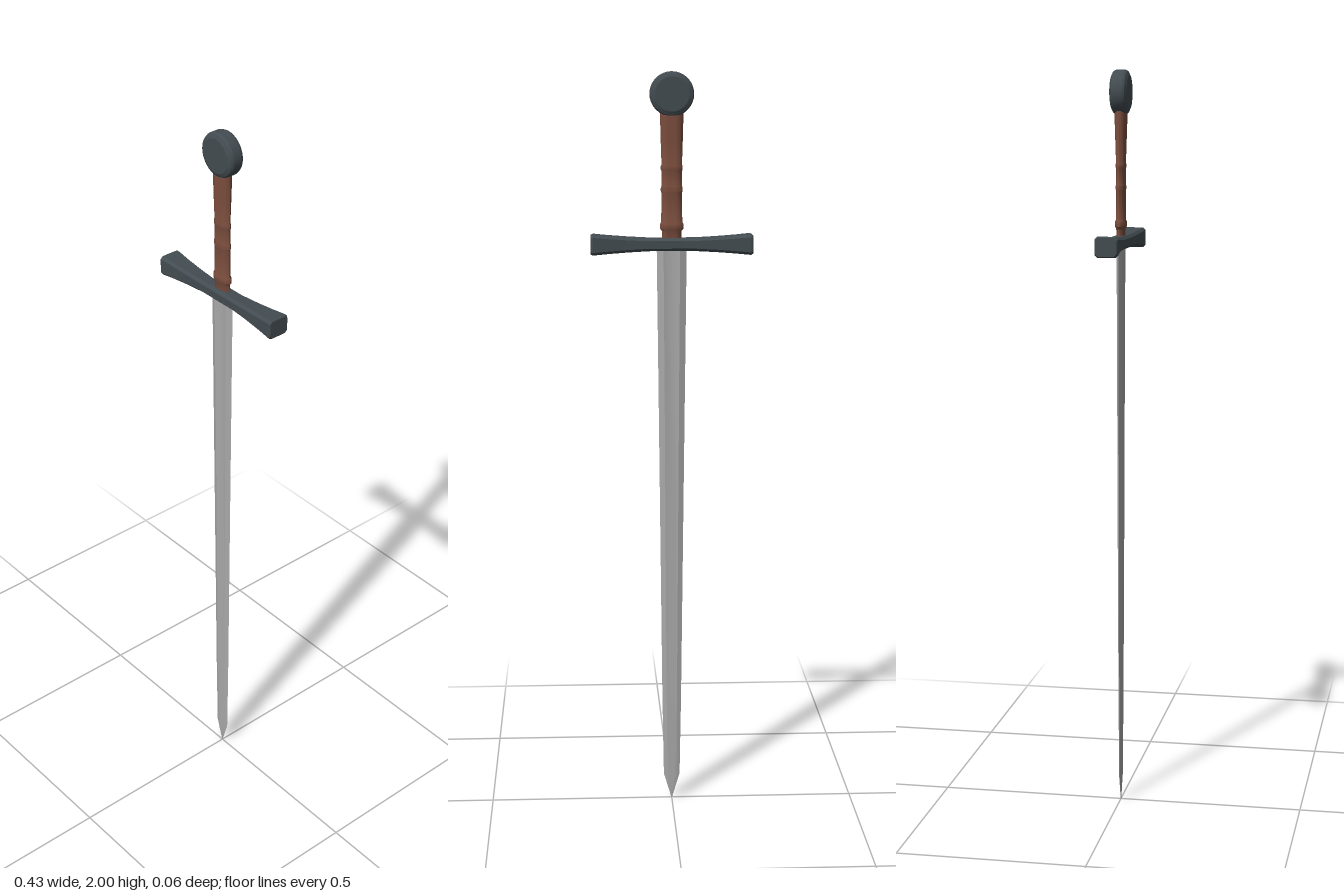
import * as THREE from 'three';
import { toCreasedNormals } from 'three/addons/utils/BufferGeometryUtils.js';

const steel = new THREE.MeshStandardMaterial({ color: 0xa9a9a9 });
steel.name = 'blade steel';
const iron = new THREE.MeshStandardMaterial({ color: 0x434c51 });
iron.name = 'dark iron';
const leather = new THREE.MeshStandardMaterial({ color: 0x7b4e3e });
leather.name = 'brown leather';

// Skin equal-length [x, z] cross-sections stacked upward in y, with capped ends
function loft(sections, crease) {
  const pos = [], n = sections[0].ring.length;
  const at = (s, i) => [s.ring[i % n][0], s.y, s.ring[i % n][1]];
  for (let k = 0; k < sections.length - 1; k++) {
    const a = sections[k], b = sections[k + 1];
    for (let i = 0; i < n; i++) {
      pos.push(...at(a, i), ...at(b, i), ...at(b, i + 1));
      pos.push(...at(a, i), ...at(b, i + 1), ...at(a, i + 1));
    }
  }
  const lo = sections[0], hi = sections[sections.length - 1];
  for (let i = 0; i < n; i++) {
    pos.push(0, lo.y, 0, ...at(lo, i), ...at(lo, i + 1));
    pos.push(0, hi.y, 0, ...at(hi, i + 1), ...at(hi, i));
  }
  const g = new THREE.BufferGeometry();
  g.setAttribute('position', new THREE.Float32BufferAttribute(pos, 3));
  return toCreasedNormals(g, crease);
}

// Hollow-centred blade section: half width, half thickness, groove depth
function bladeRing(w, t, f) {
  const front = [[w, 0], [0.55 * w, t], [0.3 * w, t - f], [0, t - f * 1.2], [-0.3 * w, t - f], [-0.55 * w, t]];
  return [...front, ...front.map(([x, z]) => [-x, -z])];
}

// Rectangle with cut corners
function chamferRing(a, b, c) {
  return [[a, -b + c], [a, b - c], [a - c, b], [-a + c, b], [-a, b - c], [-a, -b + c], [-a + c, -b], [a - c, -b]];
}

function ovalRing(rx, rz, n = 20) {
  return Array.from({ length: n }, (_, i) => {
    const t = (i / n) * Math.PI * 2;
    return [rx * Math.cos(t), rz * Math.sin(t)];
  });
}

function add(group, name, geometry, material) {
  const mesh = new THREE.Mesh(geometry, material);
  mesh.name = name;
  group.add(mesh);
  return mesh;
}

export function createModel() {
  const sword = new THREE.Group();
  sword.name = 'sword';

  // Tapering blade with a shallow groove fading towards the point
  const blade = [
    [0, 0.001, 0.0008, 0], [0.07, 0.022, 0.003, 0], [0.3, 0.026, 0.0045, 0.0004],
    [0.75, 0.031, 0.006, 0.0015], [1.2, 0.036, 0.007, 0.002], [1.55, 0.04, 0.008, 0.0025],
  ].map(([y, w, t, f]) => ({ y, ring: bladeRing(w, t, f) }));
  add(sword, 'blade', loft(blade, 0.35), steel);

  // Crossguard flaring towards both ends, lofted upward then laid along x
  const half = [[0, 0.017, 0.021], [0.06, 0.017, 0.021], [0.12, 0.02, 0.024], [0.17, 0.0235, 0.0275], [0.209, 0.027, 0.031], [0.215, 0.024, 0.028]];
  const guard = [...half.slice(1).reverse().map(([d, a, b]) => [-d, a, b]), ...half]
    .map(([y, a, b]) => ({ y, ring: chamferRing(a, b, 0.007) }));
  const guardMesh = add(sword, 'crossguard', loft(guard, 0.5), iron);
  guardMesh.rotation.z = -Math.PI / 2;
  guardMesh.position.y = 1.55;

  // Oval grip with raised bands
  const grip = [
    [1.56, 0.025, 0.011], [1.585, 0.026, 0.012], [1.591, 0.031, 0.015], [1.604, 0.031, 0.015],
    [1.61, 0.028, 0.0125], [1.685, 0.027, 0.012], [1.69, 0.029, 0.0135], [1.698, 0.029, 0.0135],
    [1.703, 0.027, 0.012], [1.742, 0.027, 0.012], [1.747, 0.029, 0.0135], [1.755, 0.029, 0.0135],
    [1.76, 0.027, 0.0125], [1.82, 0.029, 0.0145], [1.895, 0.031, 0.017],
  ].map(([y, rx, rz]) => ({ y, ring: ovalRing(rx, rz) }));
  add(sword, 'grip', loft(grip, 0.6), leather);

  // Wheel pommel with bevelled rims
  const profile = [[0, -0.023], [0.045, -0.023], [0.055, -0.018], [0.058, -0.012], [0.058, 0.012], [0.055, 0.018], [0.045, 0.023], [0, 0.023]]
    .map(([r, y]) => new THREE.Vector2(r, y));
  const pommel = add(sword, 'pommel', toCreasedNormals(new THREE.LatheGeometry(profile, 32), 0.4), iron);
  pommel.rotation.x = Math.PI / 2;
  pommel.position.y = 1.942;

  return sword;
}
